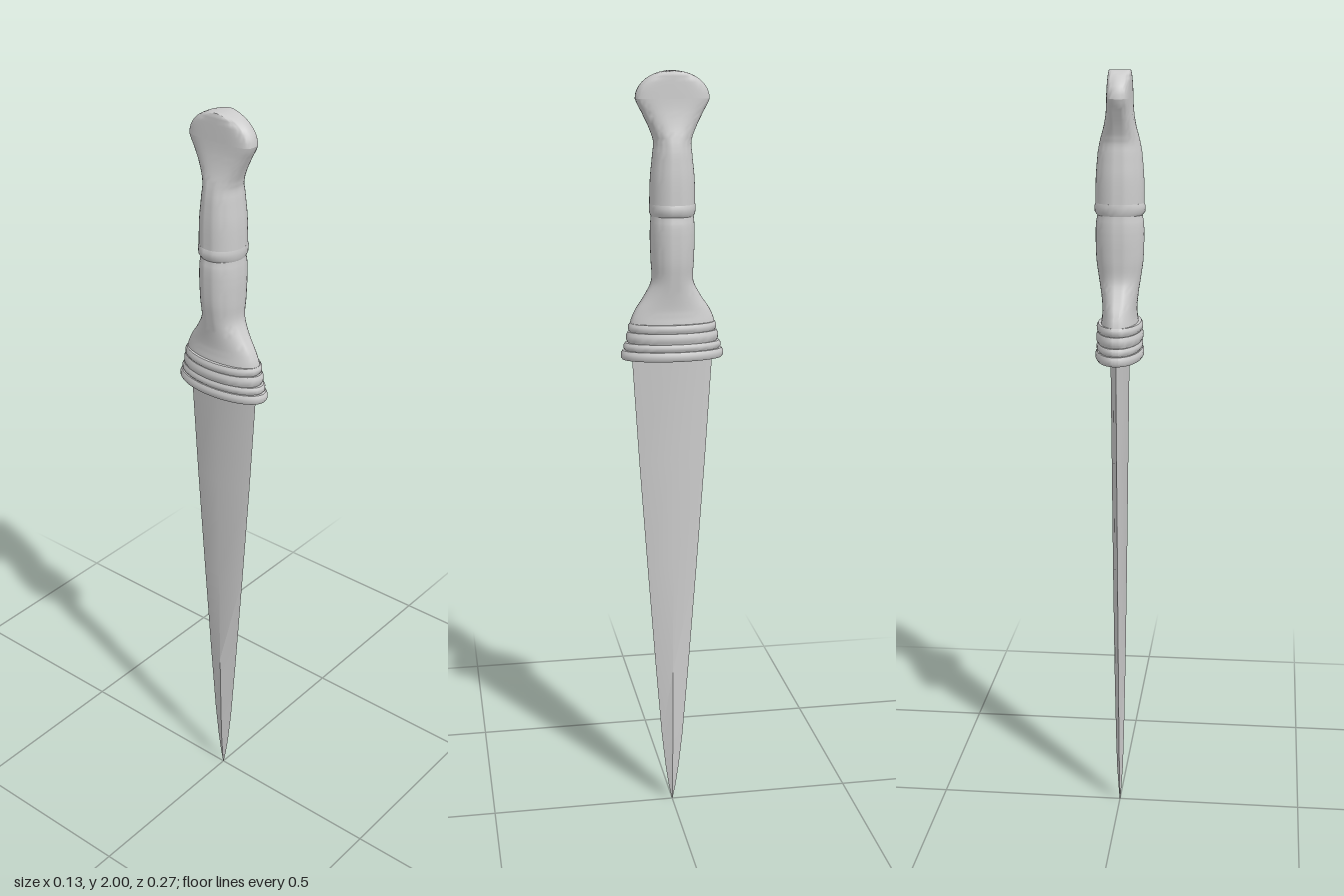
import * as THREE from 'three';
import { toCreasedNormals } from 'three/addons/utils/BufferGeometryUtils.js';

const steel = new THREE.MeshStandardMaterial({ color: 0xcccccc });
steel.name = 'pale grey';

// Closed loft through superellipse sections [y, halfX, halfZ, exponent], bottom to top.
function loft(name, sections, sides, crease) {
  const pos = [], idx = [];
  const bend = (v, n) => Math.sign(v) * Math.pow(Math.abs(v), 2 / n);
  for (const [y, rx, rz, n = 2] of sections) {
    for (let j = 0; j < sides; j++) {
      const a = (j / sides) * Math.PI * 2;
      const c = Math.abs(Math.cos(a)) < 1e-9 ? 0 : Math.cos(a);
      const s = Math.abs(Math.sin(a)) < 1e-9 ? 0 : Math.sin(a);
      pos.push(rx * bend(c, n), y, rz * bend(s, n));
    }
  }
  const last = (sections.length - 1) * sides;
  const low = pos.length / 3, high = low + 1;
  pos.push(0, sections[0][0], 0, 0, sections[sections.length - 1][0], 0);
  for (let j = 0; j < sides; j++) {
    const k = (j + 1) % sides;
    for (let r = 0; r < last; r += sides) {
      const a = r + j, b = r + k, c = a + sides, d = b + sides;
      idx.push(a, c, b, b, c, d);
    }
    idx.push(low, j, k, high, last + k, last + j);
  }
  const g = new THREE.BufferGeometry();
  g.setAttribute('position', new THREE.Float32BufferAttribute(pos, 3));
  g.setIndex(idx);
  const mesh = new THREE.Mesh(toCreasedNormals(g, crease), steel);
  mesh.name = name;
  return mesh;
}

// Smooth a few key sections into a dense list.
function smooth(keys, steps) {
  const at = (i, c) => keys[Math.min(Math.max(i, 0), keys.length - 1)][c];
  const out = [];
  for (let i = 0; i < keys.length - 1; i++) {
    for (let s = 0; s < steps; s++) {
      const t = s / steps;
      out.push([0, 1, 2, 3].map((c) => {
        const p0 = at(i - 1, c), p1 = at(i, c), p2 = at(i + 1, c), p3 = at(i + 2, c);
        if (c === 0) return p1 + (p2 - p1) * t;
        return p1 + 0.5 * t * (p2 - p0 + t * (2 * p0 - 5 * p1 + 4 * p2 - p3 + t * (3 * (p1 - p2) + p3 - p0)));
      }));
    }
  }
  out.push(keys[keys.length - 1]);
  return out;
}

export function createModel() {
  const dagger = new THREE.Group();
  dagger.name = 'dagger';

  // Tapering diamond blade
  dagger.add(loft('blade', [
    [0, 0.001, 0.001, 2], [0.04, 0.004, 0.009, 2], [0.1, 0.008, 0.018, 2], [0.2, 0.011, 0.029, 2],
    [0.4, 0.015, 0.045, 2], [0.7, 0.019, 0.067, 2], [1.0, 0.022, 0.088, 2], [1.29, 0.025, 0.106, 2],
  ], 4, 0.6));

  // Stacked guard rings with rounded rims: [bottom, top, halfX, halfZ]
  for (const [y0, y1, rx, rz] of [
    [1.278, 1.302, 0.062, 0.134], [1.302, 1.322, 0.059, 0.127],
    [1.322, 1.35, 0.06, 0.12], [1.35, 1.372, 0.059, 0.115],
  ]) {
    const h = y1 - y0, e = 0.004;
    dagger.add(loft('guardRing', [
      [y0, rx - e, rz - e], [y0 + h * 0.25, rx, rz], [y0 + h * 0.7, rx, rz], [y1, rx - e, rz - e],
    ], 48, 0.7));
  }

  // Flared lower grip
  dagger.add(loft('lowerGrip', smooth([
    [1.365, 0.048, 0.112, 2], [1.4, 0.044, 0.1, 2], [1.44, 0.047, 0.074, 2], [1.48, 0.053, 0.054, 2],
    [1.53, 0.06, 0.055, 2], [1.59, 0.062, 0.057, 2], [1.625, 0.061, 0.056, 2], [1.648, 0.057, 0.054, 2],
  ], 4), 40, 0.8));

  // Middle grip ridge
  dagger.add(loft('gripRidge', [
    [1.645, 0.058, 0.055], [1.653, 0.064, 0.058], [1.667, 0.065, 0.059], [1.675, 0.062, 0.058],
  ], 40, 0.8));

  // Upper grip flattening into the pommel
  dagger.add(loft('upperGrip', smooth([
    [1.67, 0.062, 0.058, 2], [1.74, 0.061, 0.056, 2], [1.8, 0.056, 0.05, 2], [1.83, 0.05, 0.048, 2.1],
    [1.865, 0.04, 0.06, 2.5], [1.9, 0.033, 0.077, 3], [1.933, 0.03, 0.093, 3.6],
  ], 4), 40, 0.8));

  // Domed pommel cap
  const cap = [];
  for (let i = 0; i <= 10; i++) {
    const t = i / 10;
    cap.push([1.933 + 0.067 * Math.sin(t * Math.PI / 2), 0.03 - 0.003 * t,
      Math.max(0.093 * Math.cos(t * Math.PI / 2), 0.003), 3.6]);
  }
  dagger.add(loft('pommelCap', cap, 40, 0.8));

  return dagger;
}
